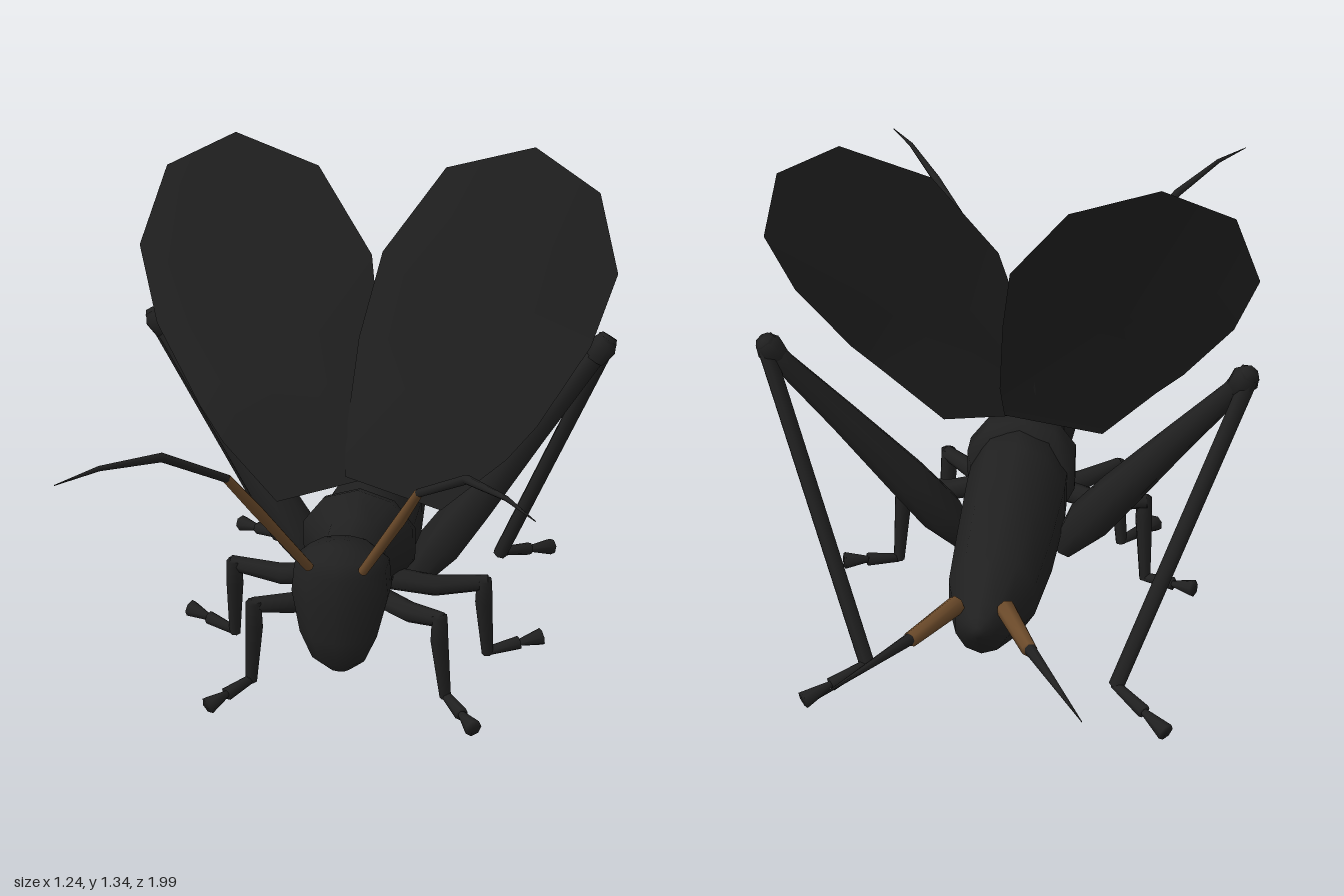
import * as THREE from 'three';

const black = new THREE.MeshStandardMaterial({ color: 0x202020 });
black.name = 'black shell';
const brown = new THREE.MeshStandardMaterial({ color: 0x6b4a2a });
brown.name = 'brown';
const wingBlack = new THREE.MeshStandardMaterial({ color: 0x202020, side: THREE.DoubleSide });
wingBlack.name = 'black wing';

const V = (p) => new THREE.Vector3(...p);

function surface(pos, idx) {
  const g = new THREE.BufferGeometry();
  g.setAttribute('position', new THREE.Float32BufferAttribute(pos, 3));
  g.setIndex(idx);
  g.computeVertexNormals();
  return g;
}

// Joins rings of points into a closed, smooth surface
function skin(rings) {
  const n = rings[0].length, pos = [], idx = [];
  rings.forEach((r) => r.forEach((p) => pos.push(p.x, p.y, p.z)));
  for (let i = 0; i < rings.length - 1; i++) {
    for (let j = 0; j < n; j++) {
      const a = i * n + j, b = i * n + (j + 1) % n;
      idx.push(a, b, a + n, b, b + n, a + n);
    }
  }
  [0, rings.length - 1].forEach((i) => {
    const c = pos.length / 3;
    const mid = rings[i].reduce((s, p) => s.add(p), new THREE.Vector3()).divideScalar(n);
    pos.push(mid.x, mid.y, mid.z);
    for (let j = 0; j < n; j++) {
      const a = i * n + j, b = i * n + (j + 1) % n;
      if (i === 0) idx.push(c, b, a); else idx.push(c, a, b);
    }
  });
  return surface(pos, idx);
}

// Body sections: [z, top, bottom, half width], running towards -z
function loft(sections, sides = 10) {
  return skin(sections.map(([z, top, bot, w]) => Array.from({ length: sides }, (_, j) => {
    const a = j / sides * Math.PI * 2;
    return new THREE.Vector3(Math.sin(a) * w, (top + bot) / 2 + Math.cos(a) * (top - bot) / 2, z);
  })));
}

// Tapered limb through points, one radius per point
function limb(points, radii, sides = 7) {
  const p = points.map(V), last = p.length - 1;
  const d = p[last].clone().sub(p[0]);
  const ax = Math.abs(d.x), ay = Math.abs(d.y), az = Math.abs(d.z);
  const ref = ax <= ay && ax <= az ? V([1, 0, 0]) : ay <= az ? V([0, 1, 0]) : V([0, 0, 1]);
  return skin(p.map((c, i) => {
    const t = p[Math.min(i + 1, last)].clone().sub(p[Math.max(i - 1, 0)]).normalize();
    const u = ref.clone().cross(t).normalize(), v = t.clone().cross(u);
    return Array.from({ length: sides }, (_, j) => {
      const a = j / sides * Math.PI * 2;
      return c.clone().addScaledVector(u, Math.cos(a) * radii[i]).addScaledVector(v, Math.sin(a) * radii[i]);
    });
  }));
}

// Wing: outline fanned around a middle point
function wing(middle, outline) {
  const n = outline.length;
  return surface([middle, ...outline].flat(), outline.flatMap((_, i) => [0, 1 + i, 1 + (i + 1) % n]));
}

export function createModel() {
  const model = new THREE.Group();
  const add = (name, geo, mat = black) => {
    const m = new THREE.Mesh(geo, mat);
    m.name = name;
    model.add(m);
  };

  // Body
  add('abdomen', loft([
    [0.14, 0.5, 0.24, 0.13], [0, 0.48, 0.15, 0.135], [-0.19, 0.443, 0.115, 0.127],
    [-0.4, 0.4, 0.145, 0.112], [-0.56, 0.365, 0.215, 0.065], [-0.6, 0.345, 0.27, 0.035],
    [-0.615, 0.325, 0.295, 0.012],
  ]));
  add('thorax', loft([
    [0.35, 0.475, 0.29, 0.09], [0.28, 0.477, 0.28, 0.09], [0.2, 0.482, 0.26, 0.092],
    [0.13, 0.52, 0.235, 0.147], [0.09, 0.505, 0.21, 0.15], [0.04, 0.475, 0.19, 0.13],
  ]));
  // Head: sections stacked upwards as [-y, front, back, half width]
  add('head', loft([
    [-0.172, 0.43, 0.4, 0.025], [-0.21, 0.463, 0.38, 0.068], [-0.28, 0.483, 0.335, 0.1],
    [-0.38, 0.482, 0.265, 0.125], [-0.45, 0.475, 0.265, 0.118], [-0.485, 0.455, 0.3, 0.085],
    [-0.505, 0.41, 0.36, 0.035],
  ]).rotateX(Math.PI / 2));

  // Raised, twisted wings, listed counter-clockwise from the front
  add('leftWing', wing([0.25, 0.88, 0.0], [
    [-0.04, 0.53, 0.08], [0.21, 0.475, 0.12], [0.37, 0.62, 0.1], [0.44, 0.7, 0.065], [0.56, 0.89, -0.015],
    [0.615, 1.06, -0.08], [0.56, 1.25, -0.13], [0.395, 1.345, -0.17], [0.175, 1.28, -0.173],
    [0.025, 1.07, -0.115], [-0.025, 0.86, -0.05], [-0.045, 0.63, 0.035],
  ]), wingBlack);
  add('rightWing', wing([-0.25, 0.87, -0.03], [
    [0.04, 0.53, 0.065], [0.045, 0.63, 0.02], [0.02, 0.86, -0.09], [-0.01, 1.04, -0.165],
    [-0.16, 1.24, -0.25], [-0.375, 1.315, -0.26], [-0.545, 1.235, -0.21], [-0.605, 1.045, -0.13],
    [-0.545, 0.87, -0.04], [-0.42, 0.69, 0.05], [-0.35, 0.61, 0.095], [-0.21, 0.465, 0.12],
  ]), wingBlack);

  for (const [side, s] of [['left', 1], ['right', -1]]) {
    const part = (name, pts, radii, mat) =>
      add(side + name, limb(pts.map(([x, y, z]) => [s * x, y, z]), radii), mat);

    // Foot of two flaring joints
    const foot = (name, a, b) => {
      const mid = a.map((v, i) => v + (b[i] - v) * 0.58);
      part(name + 'Foot', [a, mid], [0.012, 0.018]);
      part(name + 'Claw', [mid, b], [0.009, 0.023]);
    };

    // Hind leg
    part('HindThigh', [[0.13, 0.2, -0.02], [0.19, 0.29, -0.04], [0.27, 0.4, -0.07], [0.42, 0.6, -0.13],
      [0.55, 0.77, -0.185], [0.595, 0.835, -0.2]], [0.035, 0.06, 0.056, 0.04, 0.028, 0.028]);
    part('HindKnee', [[0.56, 0.78, -0.185], [0.583, 0.815, -0.195], [0.598, 0.84, -0.205]], [0.028, 0.037, 0.022]);
    part('HindShin', [[0.595, 0.82, -0.2], [0.315, 0.06, -0.425]], [0.021, 0.02]);
    foot('Hind', [0.31, 0.065, -0.425], [0.45, 0.024, -0.55]);

    // Middle leg
    part('MiddleThigh', [[0.09, 0.28, 0.14], [0.2, 0.26, 0.125], [0.335, 0.275, 0.115]], [0.03, 0.028, 0.02]);
    part('MiddleShin', [[0.325, 0.285, 0.12], [0.325, 0.22, 0.115], [0.335, 0.05, 0.09]], [0.02, 0.023, 0.015]);
    foot('Middle', [0.335, 0.055, 0.09], [0.47, 0.073, 0.025]);

    // Front leg
    part('FrontThigh', [[0.07, 0.25, 0.19], [0.15, 0.25, 0.25], [0.24, 0.27, 0.31]], [0.028, 0.027, 0.02]);
    part('FrontShin', [[0.235, 0.28, 0.31], [0.235, 0.21, 0.307], [0.25, 0.035, 0.29]], [0.02, 0.023, 0.015]);
    foot('Front', [0.25, 0.04, 0.29], [0.335, 0.03, 0.415]);

    // Antenna
    part('AntennaBase', [[0.065, 0.475, 0.455], [0.17, 0.68, 0.56], [0.22, 0.79, 0.63]], [0.012, 0.014, 0.011], brown);
    part('AntennaTip', [[0.22, 0.79, 0.63], [0.34, 0.895, 0.75], [0.44, 0.935, 0.9], [0.51, 0.94, 1]],
      [0.01, 0.011, 0.006, 0.001]);

    // Tail feeler
    part('TailFeelerBase', [[0.06, 0.345, -0.555], [0.14, 0.348, -0.72]], [0.024, 0.019], brown);
    part('TailFeelerTip', [[0.14, 0.348, -0.715], [0.295, 0.356, -0.99]], [0.015, 0.001]);
  }
  return model;
}
